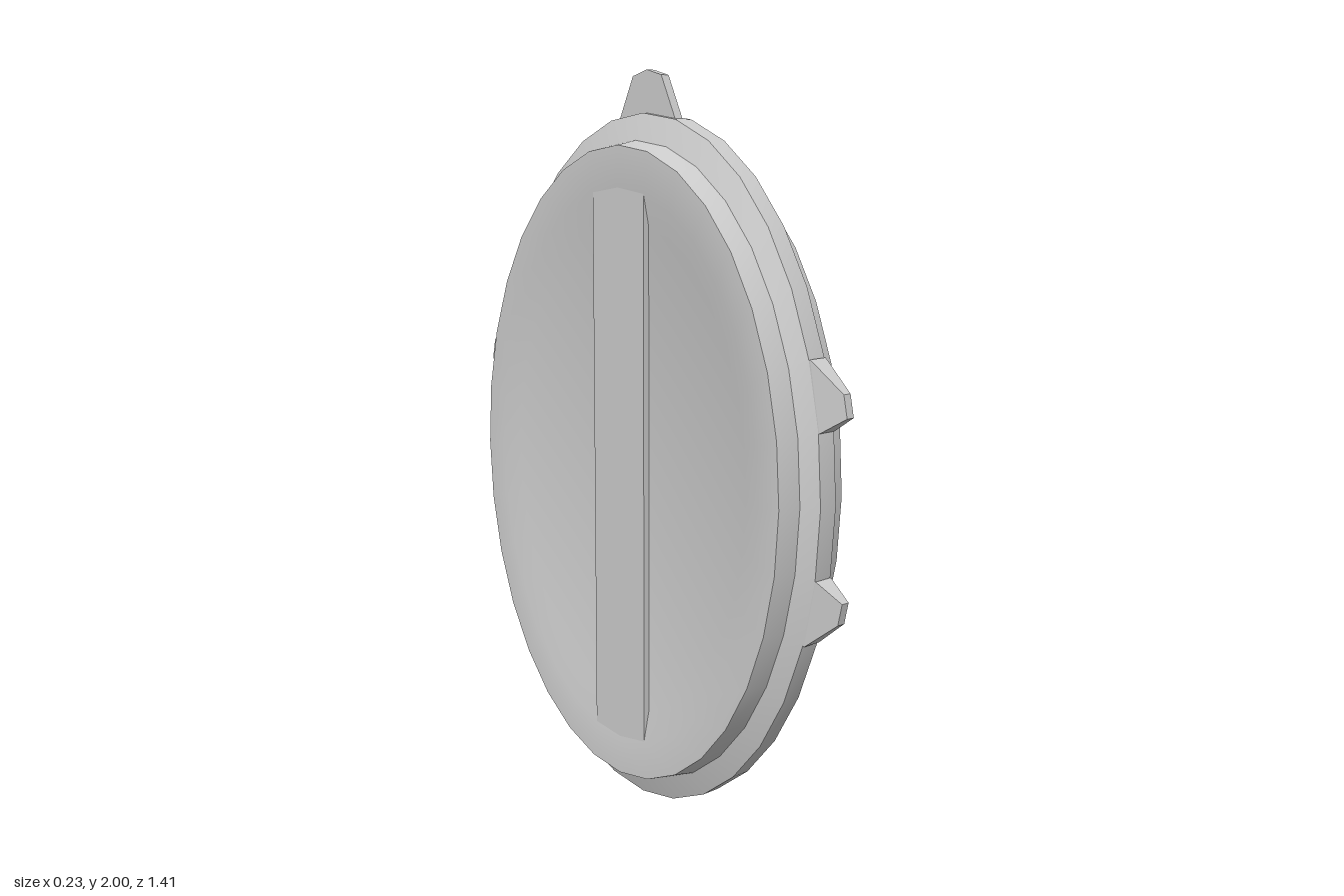
import * as THREE from 'three';
import { toCreasedNormals } from 'three/addons/utils/BufferGeometryUtils.js';
import { ConvexGeometry } from 'three/addons/geometries/ConvexGeometry.js';

const CY = 0.945; // height of the disc centre
const SEG = 32;

// Skin a row of ellipses [x, z radius, y radius] running from +x to -x
function loftEllipses(rings) {
  const pos = [];
  const point = ([x, rz, ry], j) => {
    const t = ((j % SEG) / SEG) * Math.PI * 2;
    return [x, CY + ry * Math.cos(t), rz * Math.sin(t)];
  };
  for (let i = 0; i < rings.length - 1; i++) {
    const [r, s] = [rings[i], rings[i + 1]];
    for (let j = 0; j < SEG; j++) {
      const a = point(r, j), b = point(r, j + 1), c = point(s, j), d = point(s, j + 1);
      if (s[1] > 0) pos.push(...a, ...c, ...d);
      if (r[1] > 0) pos.push(...a, ...d, ...b);
    }
  }
  const g = new THREE.BufferGeometry();
  g.setAttribute('position', new THREE.Float32BufferAttribute(pos, 3));
  return toCreasedNormals(g, 0.33);
}

// Solid tooth from [half thickness, y, z] corners mirrored across x
function tooth(corners) {
  const pts = corners.flatMap(([x, y, z]) =>
    [new THREE.Vector3(x, y, z), new THREE.Vector3(-x, y, z)]);
  return new ConvexGeometry(pts);
}

export function createModel() {
  const group = new THREE.Group();
  const mat = new THREE.MeshStandardMaterial({ color: 0xcccccc });
  const add = (name, geo) => {
    const m = new THREE.Mesh(geo, mat);
    m.name = name;
    group.add(m);
  };

  // Oval body: deep recess on +x, stepped rim with flange, shallow recess on -x
  add('ovalBody', loftEllipses([
    [0.045, 0, 0], [0.045, 0.46, 0.675], [0.065, 0.46, 0.675],
    [0.115, 0.515, 0.755], [0.115, 0.587, 0.863],
    [0.052, 0.598, 0.875], [0.028, 0.643, 0.945],
    [-0.028, 0.643, 0.945], [-0.052, 0.598, 0.875],
    [-0.115, 0.587, 0.863], [-0.115, 0.515, 0.755],
    [-0.097, 0.46, 0.675], [-0.097, 0, 0],
  ]));

  // Upright bar across the shallow recess, flush with the rim
  const w = 0.515 * Math.sin(Math.PI / 16), h = 0.755 * Math.cos(Math.PI / 16);
  const bar = new THREE.Shape([[w, -h], [w, h], [0, 0.755], [-w, h], [-w, -h], [0, -0.755]]
    .map(([z, y]) => new THREE.Vector2(z, y)));
  const barGeo = new THREE.ExtrudeGeometry(bar, { depth: 0.03, bevelEnabled: false });
  barGeo.rotateY(-Math.PI / 2).translate(-0.085, CY, 0);
  add('backBar', barGeo);

  // Top tooth
  const top = [[0, 2]];
  for (const s of [-1, 1]) top.push([0.055 * s, 1.985], [0.11 * s, 1.87], [0.11 * s, 1.84]);
  add('topTooth', tooth(top.map(([z, y]) => [0.013, y, z])));

  // Four side teeth, tapering outward
  for (const sz of [-1, 1]) {
    for (const sy of [-1, 1]) {
      const corners = [
        [0.028, 0.36, 0.599], [0.012, 0.285, 0.693], [0.012, 0.228, 0.705],
        [0.028, 0.184, 0.633], [0.028, 0.2, 0.585], [0.028, 0.34, 0.575],
      ].map(([x, y, z]) => [x, CY + sy * y, sz * z]);
      add('sideTooth', tooth(corners));
    }
  }
  return group;
}
